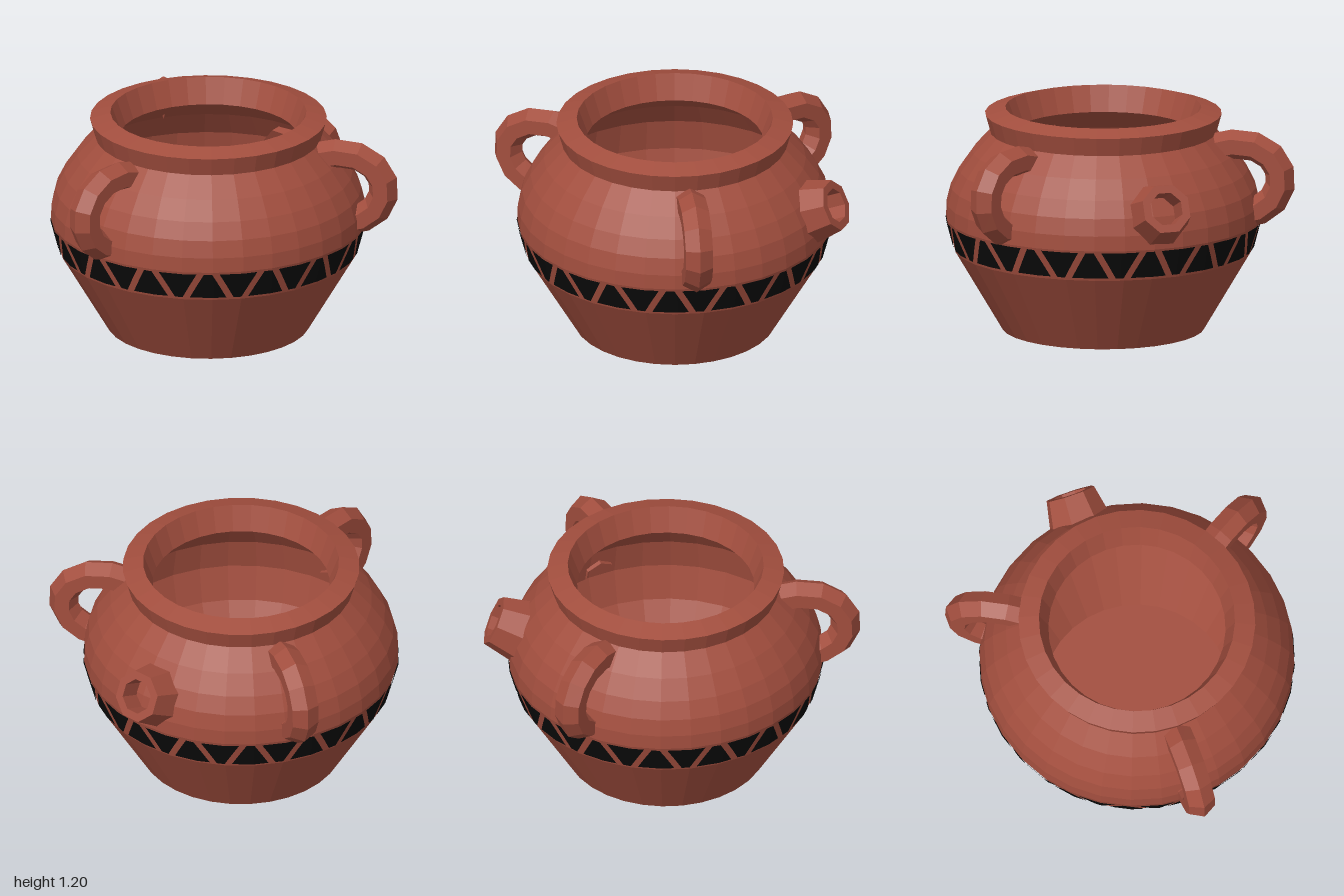
import * as THREE from 'three';

const clay = new THREE.MeshStandardMaterial({ color: 0xa24e3e, flatShading: true });
clay.name = 'terracotta';
const paint = new THREE.MeshStandardMaterial({ color: 0x0a0a0a, side: THREE.DoubleSide });
paint.name = 'blackPaint';

const SEG = 32;
const v2 = ([x, y]) => new THREE.Vector2(x, y);

function add(parent, name, geometry, material) {
  const mesh = new THREE.Mesh(geometry, material);
  mesh.name = name;
  parent.add(mesh);
  return mesh;
}

// Grid whose vertices are placed by rule(u, v), both 0..1
function grid(nu, nv, rule) {
  const g = new THREE.PlaneGeometry(1, 1, nu, nv);
  const p = g.attributes.position;
  for (let i = 0; i < p.count; i++) {
    const q = rule((i % (nu + 1)) / nu, Math.floor(i / (nu + 1)) / nv);
    p.setXYZ(i, q.x, q.y, q.z);
  }
  g.computeVertexNormals();
  return g;
}

// Hexagonal loop handle in the yz plane with a ridge facing outward
function handleGeometry() {
  const path = new THREE.CatmullRomCurve3([
    [0.57, 0.99], [0.72, 1.025], [0.845, 1.005], [0.93, 0.935], [0.957, 0.845],
    [0.93, 0.75], [0.855, 0.68], [0.75, 0.65],
  ].map(([z, y]) => new THREE.Vector3(0, y, z)));
  const side = new THREE.Vector3(1, 0, 0);
  return grid(6, 8, (u, v) => {
    const t = path.getTangent(v);
    const n = t.clone().cross(side);
    const a = u * Math.PI * 2;
    return path.getPoint(v)
      .addScaledVector(n, 0.08 * Math.cos(a))
      .addScaledVector(side, 0.084 * Math.sin(a));
  });
}

// Painted tooth that follows the faceted belly
function toothGeometry(center, pointUp) {
  const step = (Math.PI * 2) / SEG;
  const wide = THREE.MathUtils.degToRad(7), narrow = THREE.MathUtils.degToRad(1.5);
  return grid(8, 2, (u, v) => {
    const y = 0.59 - 0.145 * v;
    const half = THREE.MathUtils.lerp(wide, narrow, pointUp ? 1 - v : v);
    const a = center + (u * 2 - 1) * half;
    const inFacet = THREE.MathUtils.euclideanModulo(a, step) - step / 2;
    const belly = 0.79 + 0.045 * (y - 0.43) / 0.17;
    const r = belly * Math.cos(step / 2) / Math.cos(inFacet) + 0.006;
    return new THREE.Vector3(r * Math.sin(a), y, r * Math.cos(a));
  });
}

export function createModel() {
  const model = new THREE.Group();
  model.name = 'pot';
  const body = new THREE.Group();
  body.name = 'potBody';
  body.position.set(-0.012, 0, -0.035);
  model.add(body);

  // Vessel: outside, rim, then the hollow inside
  const profile = [
    [0, 0], [0.537, 0], [0.79, 0.43], [0.835, 0.6], [0.832, 0.68], [0.81, 0.77],
    [0.765, 0.86], [0.695, 0.96], [0.6, 1.065], [0.628, 1.165], [0.52, 1.197],
    [0.47, 1.06], [0.64, 0.94], [0.74, 0.8], [0.775, 0.62], [0.73, 0.43],
    [0.5, 0.05], [0, 0.05],
  ].map(v2);
  add(body, 'vessel', new THREE.LatheGeometry(profile, SEG), clay);

  // Three handles evenly around
  const handle = handleGeometry();
  ['frontHandle', 'leftHandle', 'rightHandle'].forEach((name, i) => {
    const mesh = add(body, name, handle, clay);
    mesh.rotation.y = (i * Math.PI * 2) / 3;
  });

  // Band of alternating painted teeth
  const band = new THREE.Group();
  band.name = 'paintedBand';
  body.add(band);
  for (let i = 0; i < 32; i++) {
    const angle = (i * Math.PI * 2) / 32 - 0.03;
    add(band, i % 2 ? 'toothDown' : 'toothUp', toothGeometry(angle, i % 2 === 0), paint);
  }

  // Flared octagonal spout at the back, tilted upward
  const spoutProfile = [
    [0.09, -0.25], [0.19, -0.25], [0.137, 0], [0.092, 0], [0.09, -0.25],
  ].map(v2);
  const spout = add(model, 'spout', new THREE.LatheGeometry(spoutProfile, 8, Math.PI / 8), clay);
  spout.position.set(-0.05, 0.835, -0.945);
  spout.rotation.x = -THREE.MathUtils.degToRad(66);

  return model;
}
